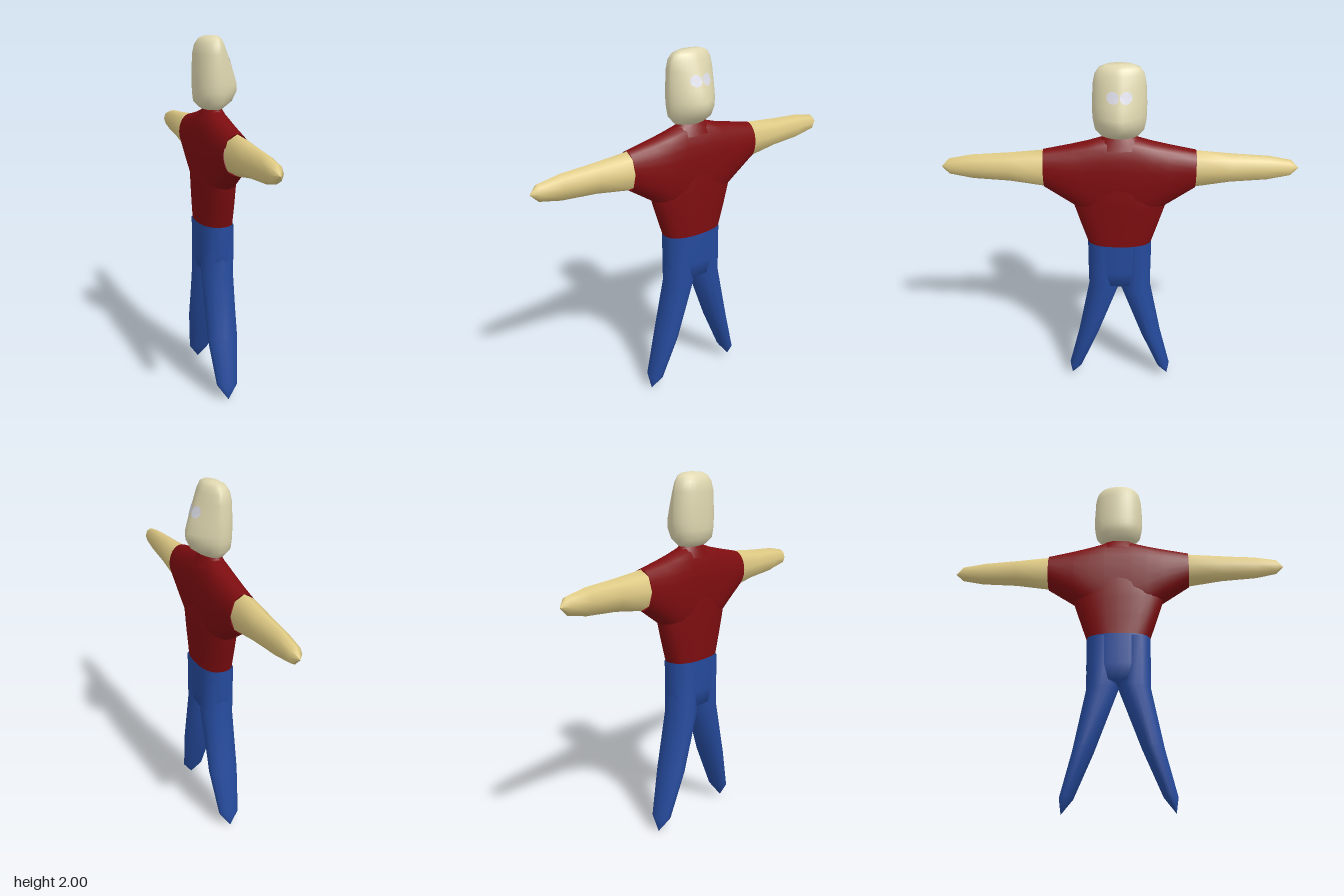
import * as THREE from 'three';

const mat = (name, color, side = THREE.FrontSide) =>
  Object.assign(new THREE.MeshStandardMaterial({ color, side }), { name });

// Smooth skin over rings { at, x, c, front, back, r, e, ef }:
// 'at' runs along the axis, x and c are the ring centre, front/back are the
// half depths in x, r is the other half size, e/ef are the roundness exponents.
function loft(rings, axis, sides) {
  const sorted = [...rings].sort((a, b) => a.at - b.at);
  const pos = [], idx = [];
  for (const { at, x = -0.02, c = 0, front, back = front, r, e = 2, ef = e } of sorted) {
    for (let j = 0; j < sides; j++) {
      const t = (j / sides) * Math.PI * 2;
      const co = Math.cos(t), si = Math.sin(t);
      const p = 2 / (co > 0.001 ? ef : e);
      const px = x + (co > 0 ? front : back) * Math.sign(co) * Math.abs(co) ** p;
      const q = r * Math.sign(si) * Math.abs(si) ** p;
      if (axis === 'y') pos.push(px, at, c - q);
      else pos.push(px, c + q, at);
    }
  }
  for (let i = 0; i < sorted.length - 1; i++) {
    for (let j = 0; j < sides; j++) {
      const k = (j + 1) % sides;
      const a = i * sides + j, b = i * sides + k;
      idx.push(a, b, b + sides, a, b + sides, a + sides);
    }
  }
  const g = new THREE.BufferGeometry();
  g.setAttribute('position', new THREE.Float32BufferAttribute(pos, 3));
  g.setIndex(idx);
  g.computeVertexNormals();
  return g;
}

// Head rings: height, front half depth, back half depth, half width
const headRings = [
  [1.6, 0.03, 0.03, 0.06], [1.615, 0.06, 0.065, 0.1], [1.65, 0.11, 0.1, 0.13],
  [1.7, 0.137, 0.105, 0.14], [1.74, 0.138, 0.106, 0.143], [1.8, 0.12, 0.106, 0.143],
  [1.9, 0.083, 0.103, 0.138], [1.95, 0.063, 0.092, 0.128], [1.98, 0.048, 0.072, 0.108],
  [1.995, 0.03, 0.045, 0.075], [2.0, 0, 0, 0],
];
const FACE = 1.6;

// Depth of the face surface at a height and sideways offset
function faceX(y, z) {
  const i = headRings.findIndex((h) => h[0] > y);
  const [lo, hi] = [headRings[i - 1], headRings[i]];
  const t = (y - lo[0]) / (hi[0] - lo[0]);
  const front = THREE.MathUtils.lerp(lo[1], hi[1], t);
  const wide = THREE.MathUtils.lerp(lo[3], hi[3], t);
  return -0.02 + front * (1 - (Math.abs(z) / wide) ** FACE) ** (1 / FACE);
}

export function createModel() {
  const group = new THREE.Group();
  const shirt = mat('shirt red', 0x7d0d10, THREE.DoubleSide);
  const trousers = mat('trouser blue', 0x254a9c, THREE.DoubleSide);
  const skin = mat('arm skin', 0xe0cb85);
  const face = mat('head skin', 0xdfd7b0);
  const eyeWhite = mat('eye white', 0xdcdce8, THREE.DoubleSide);
  const add = (name, geometry, material) => {
    const m = new THREE.Mesh(geometry, material);
    m.name = name;
    group.add(m);
  };

  // Head with a pointed face
  add('head', loft(headRings.map(([at, front, back, r]) =>
    ({ at, front, back, r, e: 2.1, ef: FACE })), 'y', 32), face);

  // Shoulders and sleeves in one skin: sideways position, bottom, top, half depth
  const sleeve = [[0.41, 1.315, 1.53, 0.074, 2], [0.26, 1.215, 1.56, 0.09, 2.2], [0.17, 1.15, 1.58, 0.095, 2.4],
    [0.08, 1.1, 1.607, 0.097, 2.4]];
  const shoulders = [];
  for (const s of [-1, 1]) {
    for (const [z, lo, hi, front, e] of sleeve) {
      shoulders.push({ at: s * z, c: (lo + hi) / 2, r: (hi - lo) / 2, front, e });
    }
  }
  add('shoulders', loft(shoulders, 'z', 24), shirt);

  // Lower part of the shirt
  add('shirtBody', loft([
    { at: 0.98, front: 0.097, r: 0.18, e: 2.4 },
    { at: 1.1, front: 0.098, r: 0.22, e: 2.4 },
    { at: 1.215, front: 0.099, r: 0.257, e: 2.3 },
    { at: 1.32, front: 0.098, r: 0.27, e: 2.2 },
    { at: 1.42, front: 0.085, r: 0.2 },
  ], 'y', 24), shirt);

  // Collar under the head
  add('collar', loft([
    { at: 1.55, front: 0.078, r: 0.15 },
    { at: 1.585, front: 0.062, r: 0.12 },
    { at: 1.612, front: 0.047, r: 0.085 },
  ], 'y', 16), shirt);

  // Hips
  add('hips', loft([
    { at: 0.69, front: 0, r: 0 },
    { at: 0.71, front: 0.085, r: 0.165, e: 2.4 },
    { at: 0.8, front: 0.095, r: 0.18, e: 2.4 },
    { at: 0.98, front: 0.097, r: 0.18, e: 2.4 },
  ], 'y', 24), trousers);

  for (const s of [-1, 1]) {
    const side = s > 0 ? 'Front' : 'Rear';

    // Bare arm: sideways position, bottom, top, half depth
    add('arm' + side, loft([
      [0.41, 1.315, 1.53, 0.074], [0.6, 1.345, 1.513, 0.06], [0.8, 1.36, 1.5, 0.044],
      [0.92, 1.385, 1.477, 0.035], [0.965, 1.43, 1.43, 0],
    ].map(([z, lo, hi, front]) => ({ at: s * z, c: (lo + hi) / 2, r: (hi - lo) / 2, front })), 'z', 8), skin);

    // Leg: height, inner edge, outer edge, half depth
    add('leg' + side, loft([
      [0.97, 0, 0.179, 0.094], [0.68, 0, 0.179, 0.093], [0.34, 0.125, 0.246, 0.088],
      [0.085, 0.232, 0.309, 0.06], [0, 0.297, 0.297, 0],
    ].map(([at, lo, hi, front]) => ({ at, c: (s * (lo + hi)) / 2, r: (hi - lo) / 2, front })), 'y', 12), trousers);

    // Eye patch laid over the face
    const eye = new THREE.CircleGeometry(1, 20);
    const p = eye.attributes.position;
    for (let i = 0; i < p.count; i++) {
      const z = s * 0.034 - p.getX(i) * 0.032, y = 1.853 + p.getY(i) * 0.03;
      p.setXYZ(i, faceX(y, z) + 0.003, y, z);
    }
    eye.computeVertexNormals();
    add('eye' + side, eye, eyeWhite);
  }
  return group;
}
